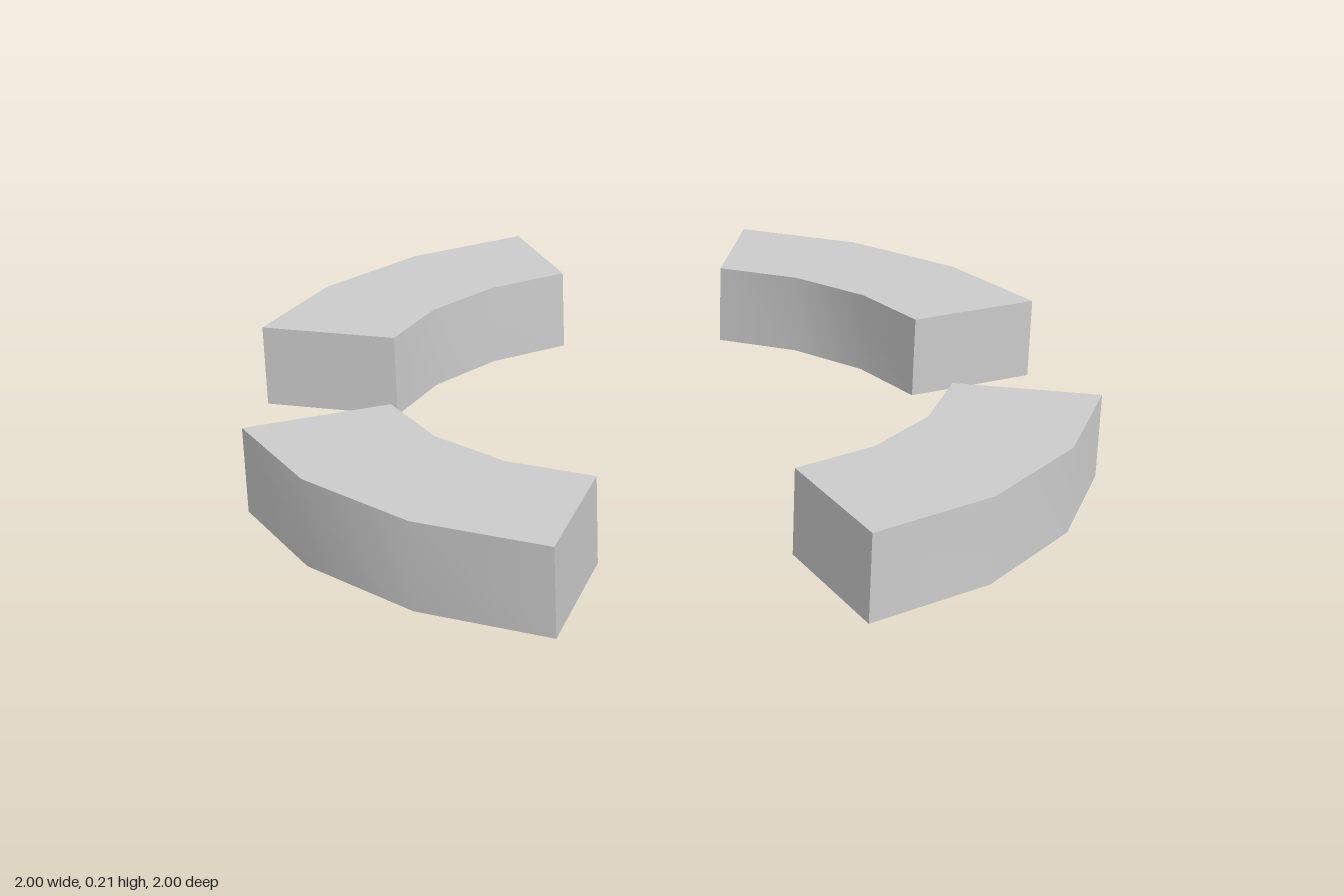
import * as THREE from 'three';
import { toCreasedNormals } from 'three/addons/utils/BufferGeometryUtils.js';

const OUTER = 1 / Math.cos(Math.PI / 10);
const INNER = 0.7;
const HEIGHT = 0.21;
const STEP = Math.PI / 10; // 18 degrees per facet
const FACETS = 3;

// One curved block: a three-facet ring sector, smooth walls and sharp rims
function blockGeometry() {
  const points = [];
  const add = (radius, i) => {
    const a = STEP * (i + 1);
    points.push(new THREE.Vector2(radius * Math.cos(a), radius * Math.sin(a)));
  };
  for (let i = 0; i <= FACETS; i++) add(OUTER, i);
  for (let i = FACETS; i >= 0; i--) add(INNER, i);
  const geometry = new THREE.ExtrudeGeometry(new THREE.Shape(points), {
    depth: HEIGHT,
    bevelEnabled: false,
  });
  geometry.rotateX(-Math.PI / 2);
  return toCreasedNormals(geometry, Math.PI / 6);
}

export function createModel() {
  const model = new THREE.Group();
  model.name = 'segmentedRing';
  const material = new THREE.MeshStandardMaterial({ color: 0xcccccc });
  const geometry = blockGeometry();

  // Four blocks, one per quadrant
  const names = ['backLeftBlock', 'backRightBlock', 'frontRightBlock', 'frontLeftBlock'];
  names.forEach((name, i) => {
    const block = new THREE.Mesh(geometry, material);
    block.name = name;
    block.rotation.y = (i * Math.PI) / 2;
    model.add(block);
  });
  return model;
}
